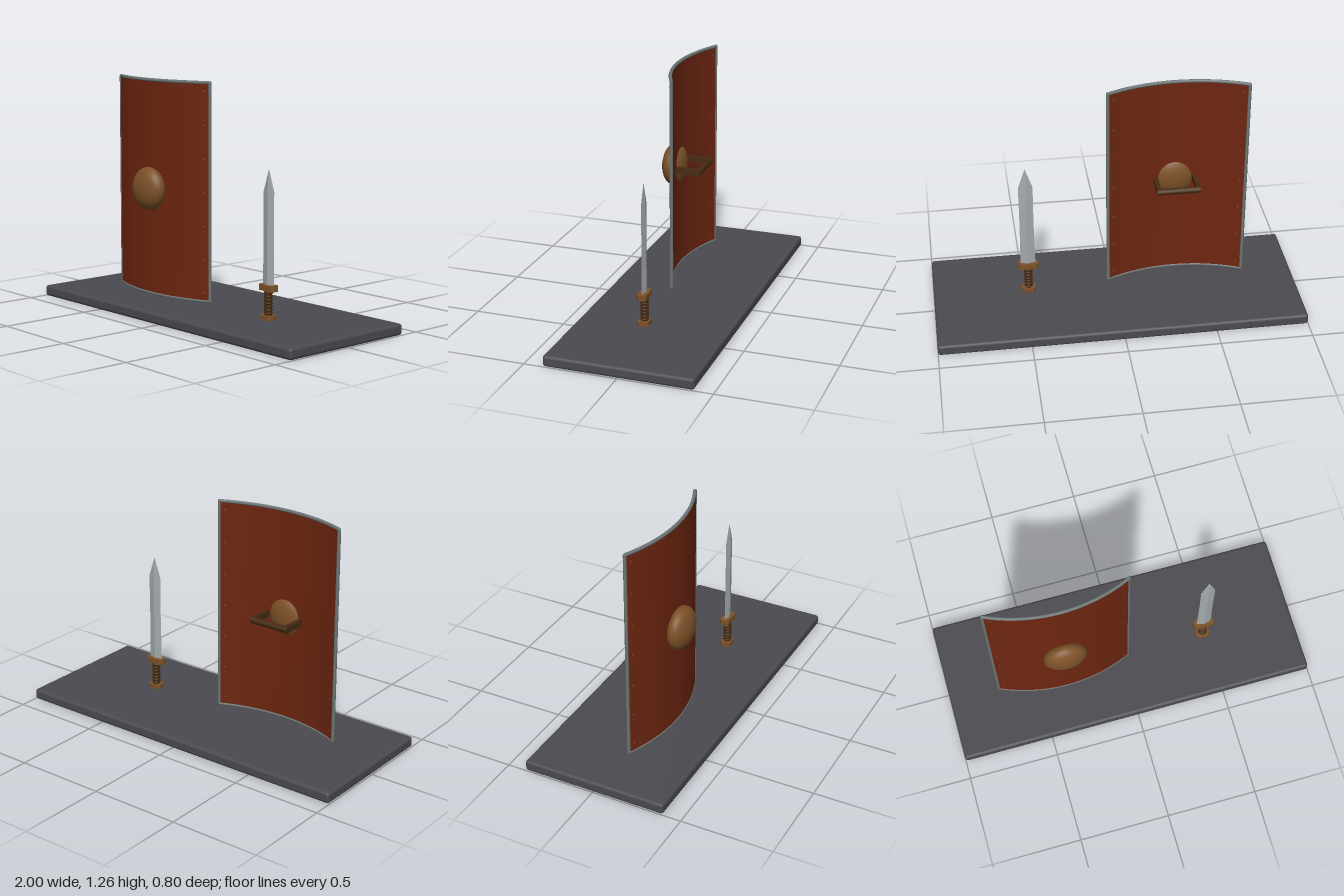
import * as THREE from 'three';
import { toCreasedNormals } from 'three/addons/utils/BufferGeometryUtils.js';
import { RoundedBoxGeometry } from 'three/addons/geometries/RoundedBoxGeometry.js';

const mat = (name, color) => {
  const m = new THREE.MeshStandardMaterial({ color });
  m.name = name;
  return m;
};

export function createModel() {
  const stone = mat('slate', 0x4a4a50);
  const red = mat('shieldRed', 0x6e2610);
  const iron = mat('iron', 0x6e7676);
  const bronze = mat('bronze', 0x7c5128);
  const wood = mat('darkWood', 0x472b12);
  const steel = mat('steel', 0xa2aaad);

  const model = new THREE.Group();
  model.name = 'shieldAndSwordDisplay';
  const add = (parent, name, geo, material, x = 0, y = 0, z = 0) => {
    const mesh = new THREE.Mesh(geo, material);
    mesh.name = name;
    mesh.position.set(x, y, z);
    parent.add(mesh);
    return mesh;
  };

  // Display base
  add(model, 'base', new RoundedBoxGeometry(2, 0.06, 0.8, 3, 0.016), stone, 0, 0.03, 0);

  // Shield: origin at the centre of the panel, bowed towards +z
  const shield = new THREE.Group();
  shield.name = 'shield';
  shield.position.set(-0.342, 0.667, 0.14);
  model.add(shield);
  const R = 0.889, half = 0.4355, H = 1.172;
  const onArc = (a, y, r = R) => new THREE.Vector3(Math.sin(a) * r, y, Math.cos(a) * r - R);

  // Curved panel, bent from a flat box
  const panel = new THREE.BoxGeometry(2 * half * R, H, 0.011, 20, 1, 1);
  const pos = panel.attributes.position;
  for (let i = 0; i < pos.count; i++) {
    const p = onArc(pos.getX(i) / R, pos.getY(i), R + pos.getZ(i));
    pos.setXYZ(i, p.x, p.y, p.z);
  }
  panel.computeVertexNormals();
  add(shield, 'panel', panel, red);

  // Metal rim with rounded corners
  const rimR = 0.0095;
  for (const s of [-1, 1]) {
    const pts = Array.from({ length: 13 }, (_, i) => onArc(half * (i / 6 - 1), s * H / 2));
    add(shield, s > 0 ? 'topRim' : 'bottomRim',
      new THREE.TubeGeometry(new THREE.CatmullRomCurve3(pts), 24, rimR, 8), iron);
    const e = onArc(s * half, 0);
    add(shield, 'sideRim', new THREE.CylinderGeometry(rimR, rimR, H, 8), iron, e.x, 0, e.z);
    for (const t of [-1, 1])
      add(shield, 'rimCorner', new THREE.SphereGeometry(rimR, 8, 6), iron, e.x, t * H / 2, e.z);

    // Rivets down each side
    for (let i = -3; i <= 3; i++) {
      const p = onArc(s * half * 0.915, i * 0.18);
      add(shield, 'rivet', new THREE.SphereGeometry(0.008, 8, 6), bronze, p.x, p.y, p.z);
    }
  }

  // Domed boss
  const boss = new THREE.SphereGeometry(0.118, 32, 20);
  boss.scale(1, 1, 0.54);
  add(shield, 'boss', boss, bronze, 0, -0.003, 0.029);

  // Hand grip behind the boss
  const bar = new THREE.CylinderGeometry(0.018, 0.018, 0.234, 10);
  bar.rotateZ(Math.PI / 2);
  add(shield, 'gripBar', bar, wood, 0, -0.003, -0.14);
  for (const s of [-1, 1])
    add(shield, 'gripArm', new THREE.BoxGeometry(0.022, 0.036, 0.132), wood, s * 0.106, -0.003, -0.07);

  // Sword standing upright on its pommel
  const sword = new THREE.Group();
  sword.name = 'sword';
  sword.position.set(0.477, 0, 0.048);
  model.add(sword);

  // Plate with chamfered corners, lying in the xz plane
  const plate = (w, d, h, c) => {
    const x = w / 2, z = d / 2;
    const outline = [[x, z - c], [x - c, z], [c - x, z], [-x, z - c],
      [-x, c - z], [c - x, -z], [x - c, -z], [x, c - z]];
    const geo = new THREE.ExtrudeGeometry(
      new THREE.Shape(outline.map(([a, b]) => new THREE.Vector2(a, b))),
      { depth: h, bevelEnabled: false });
    return geo.rotateX(-Math.PI / 2);
  };
  add(sword, 'pommel', plate(0.076, 0.06, 0.024, 0.012), bronze, 0, 0.059, 0);
  add(sword, 'guard', plate(0.113, 0.052, 0.03, 0.012), bronze, 0, 0.212, 0);

  // Ridged handle
  add(sword, 'handle', new THREE.CylinderGeometry(0.019, 0.019, 0.134, 16), wood, 0, 0.147, 0);
  for (let i = 0; i < 7; i++) {
    const ring = new THREE.TorusGeometry(0.0175, 0.006, 8, 20);
    ring.rotateX(Math.PI / 2);
    add(sword, 'handleRidge', ring, wood, 0, 0.092 + i * 0.018, 0);
  }

  // Diamond-section blade
  const profile = [[0, 0.235], [0.041, 0.235], [0.038, 0.5], [0.039, 0.725], [0, 0.842]];
  const blade = new THREE.LatheGeometry(profile.map(([x, y]) => new THREE.Vector2(x, y)), 4);
  blade.scale(1, 1, 0.28);
  add(sword, 'blade', toCreasedNormals(blade, 0.15), steel);

  return model;
}
